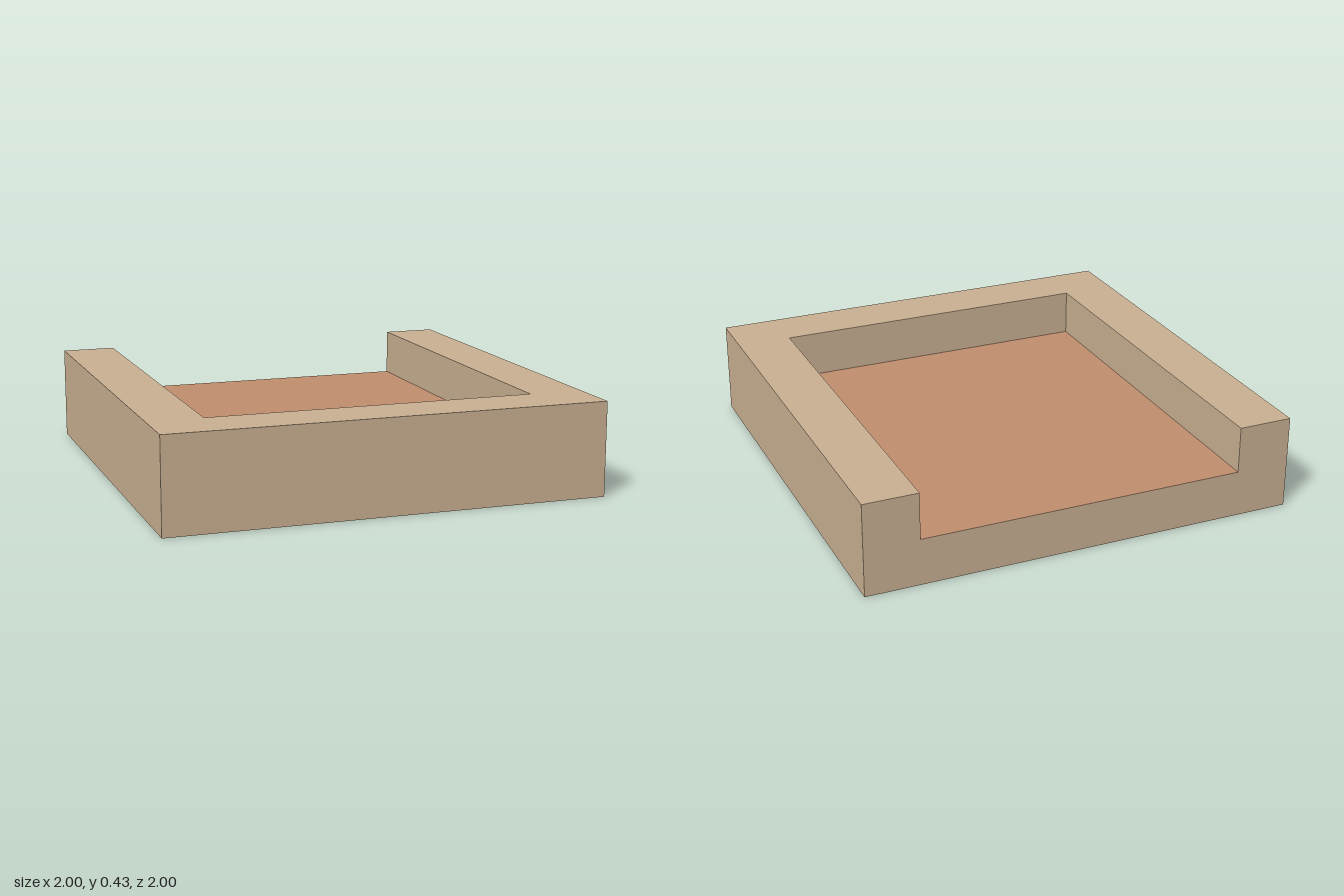
import * as THREE from 'three';

const HEIGHT = 0.43, FLOOR = 0.215, INNER = 0.75;

export function createModel() {
  const group = new THREE.Group();
  group.name = 'openTray';
  const tan = new THREE.MeshStandardMaterial({ name: 'tan', color: 0xcab092 });
  const terracotta = new THREE.MeshStandardMaterial({ name: 'terracotta', color: 0xc28e6e });

  // U-shaped wall, open at the back; shape y becomes -z when laid flat
  const outline = new THREE.Shape([
    [-1, -1], [1, -1], [1, 1], [INNER, 1],
    [INNER, -INNER], [-INNER, -INNER], [-INNER, 1], [-1, 1],
  ].map(([x, y]) => new THREE.Vector2(x, y)));
  const wallGeometry = new THREE.ExtrudeGeometry(outline, { depth: HEIGHT, bevelEnabled: false });
  wallGeometry.rotateX(-Math.PI / 2);
  const wall = new THREE.Mesh(wallGeometry, tan);
  wall.name = 'wall';
  group.add(wall);

  // Floor slab filling the U, with only its top face in terracotta
  const depth = 1 + INNER;
  const floor = new THREE.Mesh(
    new THREE.BoxGeometry(2 * INNER, FLOOR, depth),
    [tan, tan, terracotta, tan, tan, tan],
  );
  floor.name = 'floor';
  floor.position.set(0, FLOOR / 2, -1 + depth / 2);
  group.add(floor);

  return group;
}
